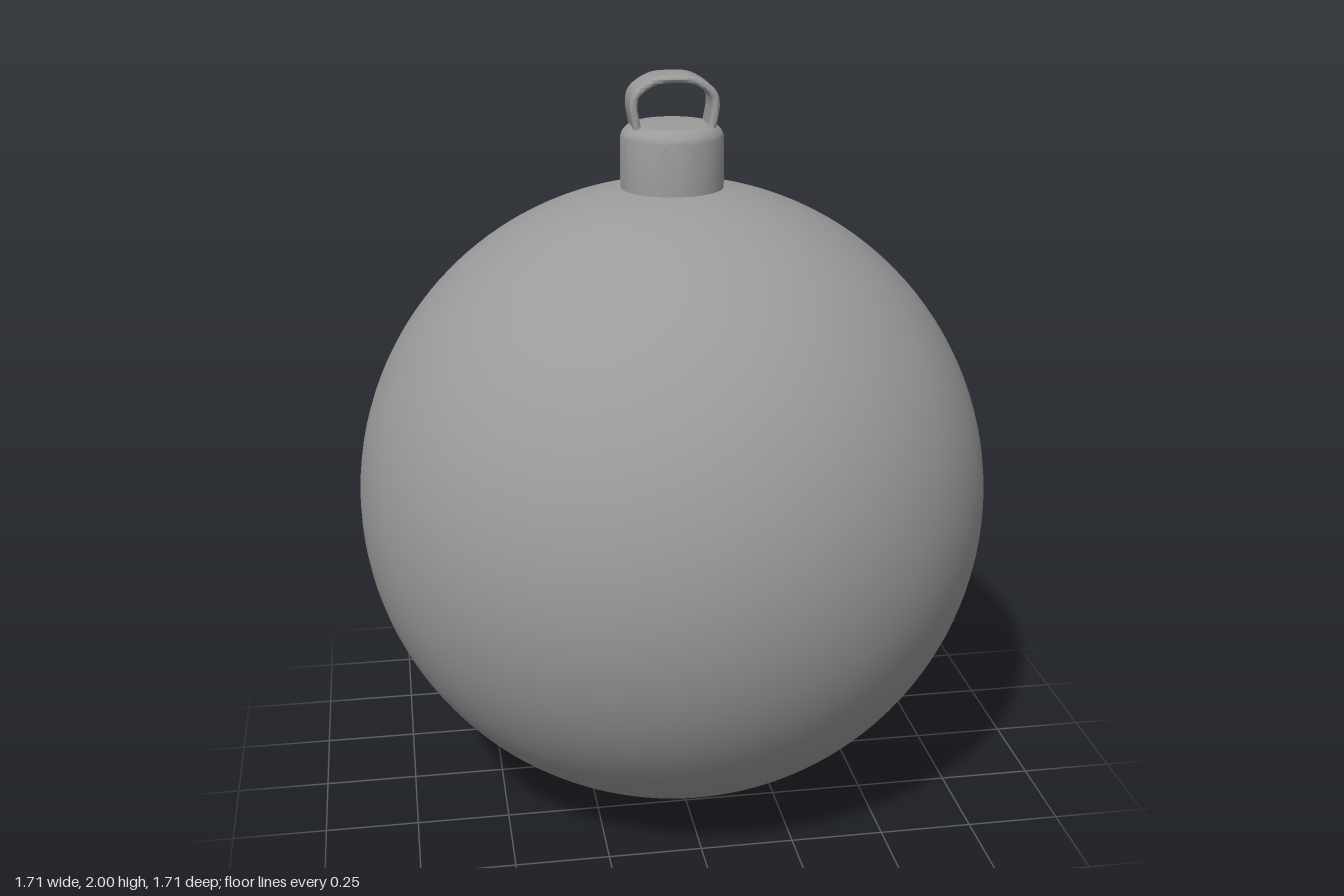
import * as THREE from 'three';
import { toCreasedNormals } from 'three/addons/utils/BufferGeometryUtils.js';

const RADIUS = 0.857;
const CAP_RADIUS = 0.136;
const CAP_TOP = 1.87;

export function createModel() {
  const model = new THREE.Group();
  model.name = 'bauble';
  const material = new THREE.MeshStandardMaterial({ color: 0x9b9b9b });
  const add = (name, geometry) => {
    const mesh = new THREE.Mesh(geometry, material);
    mesh.name = name;
    model.add(mesh);
    return mesh;
  };

  // Round body
  add('ball', new THREE.SphereGeometry(RADIUS, 96, 64)).position.y = RADIUS;

  // Cap: short cylinder with a rounded top rim
  const fillet = 0.04;
  const profile = [new THREE.Vector2(0, 1.698), new THREE.Vector2(CAP_RADIUS, 1.698)];
  for (let i = 0; i <= 8; i++) {
    const a = (i / 8) * Math.PI / 2;
    profile.push(new THREE.Vector2(
      CAP_RADIUS - fillet + fillet * Math.cos(a),
      CAP_TOP - fillet + fillet * Math.sin(a)));
  }
  profile.push(new THREE.Vector2(0, CAP_TOP));
  add('cap', toCreasedNormals(new THREE.LatheGeometry(profile, 64), 0.6));

  // Hanger: a strap with rounded edges bent into an arch, open towards the cap
  const half = [[0.094, 1.845], [0.102, 1.885], [0.107, 1.92], [0.1, 1.952], [0.052, 1.985], [0, 1.99]];
  const path = [...half, ...half.slice(0, -1).reverse().map(([x, y]) => [-x, y])];
  const curve = new THREE.CatmullRomCurve3(path.map(([x, y]) => new THREE.Vector3(x, y, 0)));
  const steps = 48;
  const thickness = 0.02;
  const side = (offset) => Array.from({ length: steps + 1 }, (_, i) => {
    const p = curve.getPointAt(i / steps);
    const t = curve.getTangentAt(i / steps);
    return new THREE.Vector2(p.x + t.y * offset, p.y - t.x * offset);
  });
  const strap = new THREE.Shape([...side(thickness / 2), ...side(-thickness / 2).reverse()]);
  const bevel = 0.009;
  const depth = 0.114 - 2 * bevel;
  const hanger = new THREE.ExtrudeGeometry(strap, {
    depth, bevelEnabled: true, bevelSize: bevel, bevelThickness: bevel, bevelOffset: -bevel, bevelSegments: 4,
  });
  hanger.translate(0, 0, -depth / 2);
  add('hanger', toCreasedNormals(hanger, 0.8));

  return model;
}
